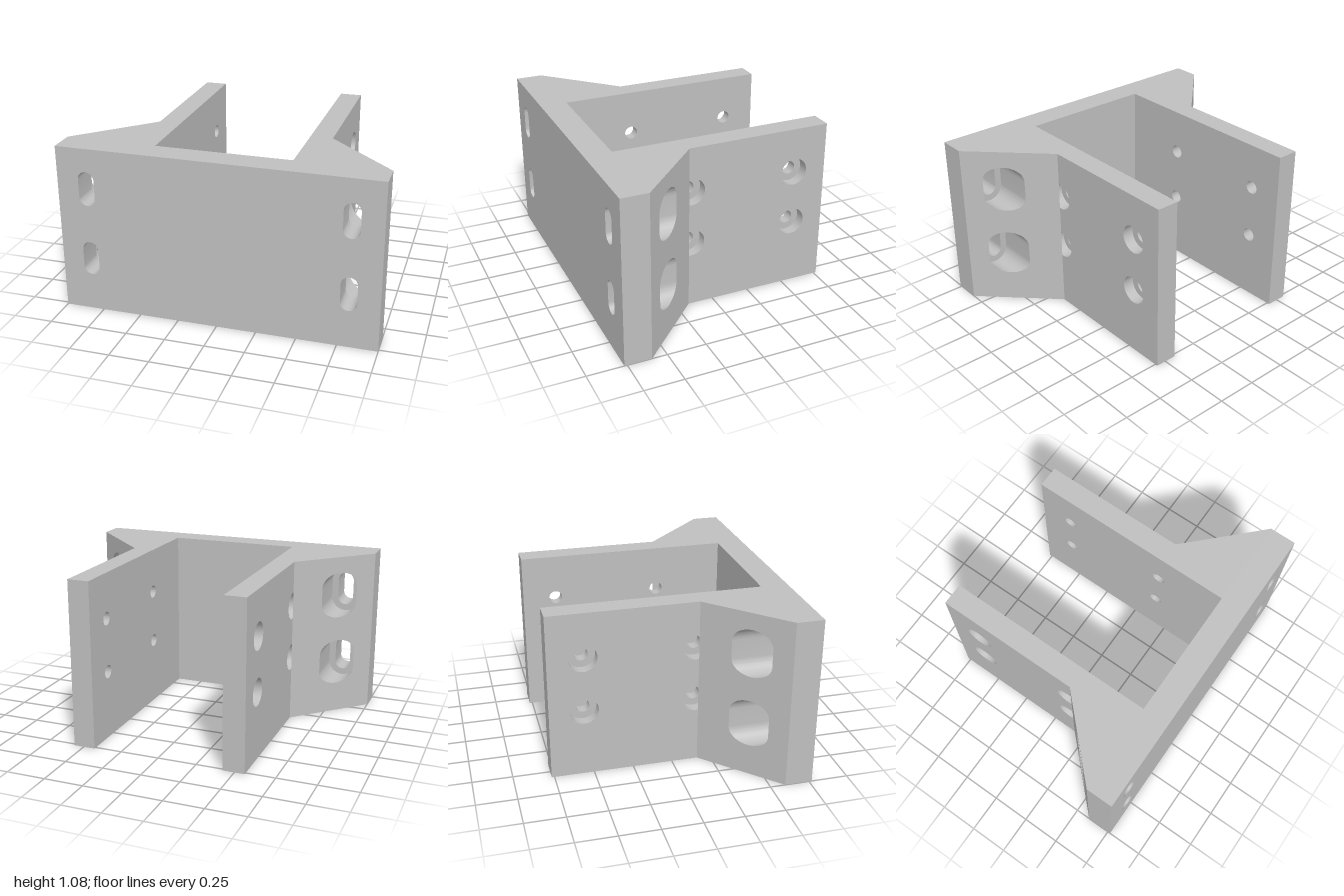
import * as THREE from 'three';
import { toCreasedNormals } from 'three/addons/utils/BufferGeometryUtils.js';

const H = 1.075;              // height of the bracket
const BACK = -0.768, SEAT = 0.596, FRONT = 0.768; // z of arm ends, plate back, plate front
const ARM_IN = 0.425, ARM_MID = 0.495, ARM_OUT = 0.565;
const SLOT_X = 0.812, SLOT_YS = [0.352, 0.817];
const BOLT_ZS = [0.15, -0.55], BOLT_YS = [0.437, 0.786];

function rect(x0, y0, x1, y1) {
  return new THREE.Shape([
    new THREE.Vector2(x0, y0), new THREE.Vector2(x1, y0),
    new THREE.Vector2(x1, y1), new THREE.Vector2(x0, y1),
  ]);
}

// Upright slot with round ends
function slot(x, y, r, half) {
  const p = new THREE.Path();
  p.absarc(x, y + half, r, 0, Math.PI, false);
  p.absarc(x, y - half, r, Math.PI, Math.PI * 2, false);
  p.closePath();
  return p;
}

function hole(x, y, r) {
  return new THREE.Path().absarc(x, y, r, 0, Math.PI * 2, false);
}

function extrude(shape, depth) {
  return new THREE.ExtrudeGeometry(shape, { depth, bevelEnabled: false, curveSegments: 20 });
}

export function createModel() {
  const model = new THREE.Group();
  model.name = 'mountingBracket';
  const metal = new THREE.MeshStandardMaterial({ color: 0xbfbfbf });
  metal.name = 'grey metal';

  function add(name, geometry, parent = model) {
    const mesh = new THREE.Mesh(toCreasedNormals(geometry, 0.5), metal);
    mesh.name = name;
    parent.add(mesh);
  }

  // Front plate with four slots
  const plate = rect(-1, 0, 1, H);
  for (const s of [-1, 1]) for (const y of SLOT_YS) plate.holes.push(slot(s * SLOT_X, y, 0.051, 0.059));
  add('frontPlate', extrude(plate, FRONT - SEAT).translate(0, 0, SEAT));

  // One layer of an arm, drilled with four holes of radius r
  function armLayer(x0, x1, r) {
    const shape = rect(BACK, 0, SEAT, H);
    for (const z of BOLT_ZS) for (const y of BOLT_YS) shape.holes.push(hole(z, y, r));
    return extrude(shape, Math.abs(x1 - x0)).rotateY(-Math.PI / 2).translate(Math.max(x0, x1), 0, 0);
  }

  for (const s of [-1, 1]) {
    const side = s > 0 ? 'left' : 'right';

    // Arm: narrow bolt holes inside, wide counterbores outside
    const arm = new THREE.Group();
    arm.name = side + 'Arm';
    add('boltHoleLayer', armLayer(s * ARM_IN, s * ARM_MID, 0.043), arm);
    add('counterboreLayer', armLayer(s * ARM_MID, s * ARM_OUT, 0.088), arm);
    model.add(arm);

    // Gusset: slotted block whose back face is slanted
    const block = rect(s * ARM_OUT, 0, s, H);
    for (const y of SLOT_YS) block.holes.push(slot(s * SLOT_X, y, 0.094, 0.058));
    const gusset = extrude(block, 1);
    const pos = gusset.attributes.position;
    for (let i = 0; i < pos.count; i++) {
      const slant = SEAT - (1 - Math.abs(pos.getX(i))) * 0.99;
      pos.setZ(i, pos.getZ(i) > 0.5 ? SEAT : slant);
    }
    gusset.computeVertexNormals();
    add(side + 'Gusset', gusset);
  }
  return model;
}
